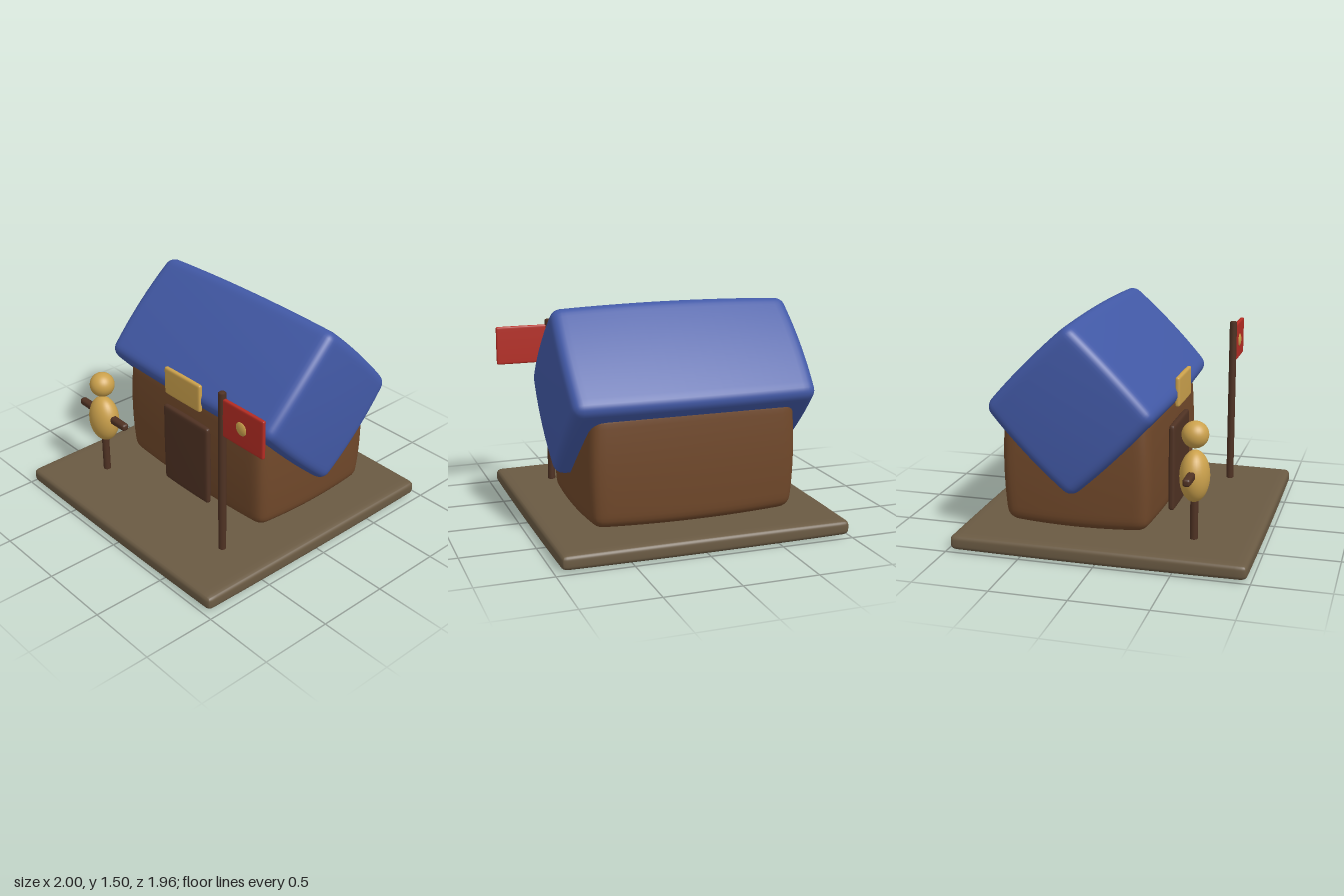
import * as THREE from 'three';
import { mergeVertices } from 'three/addons/utils/BufferGeometryUtils.js';

const paint = (name, color) => {
  const m = new THREE.MeshStandardMaterial({ color });
  m.name = name;
  return m;
};

// Box with round edges and slightly swollen faces
function puffyBox(w, h, d, r, bulge, seg = 24) {
  const g = new THREE.BoxGeometry(2, 2, 2, seg, seg, seg);
  g.deleteAttribute('uv');
  g.deleteAttribute('normal');
  const pos = g.attributes.position;
  const half = new THREE.Vector3(w, h, d).multiplyScalar(0.5);
  const inner = half.clone().subScalar(r);
  const p = new THREE.Vector3(), core = new THREE.Vector3();
  const spread = (u) => Math.sin(u * Math.PI / 2);
  for (let i = 0; i < pos.count; i++) {
    p.fromBufferAttribute(pos, i);
    p.set(spread(p.x), spread(p.y), spread(p.z)).multiply(half);
    core.copy(p).clamp(inner.clone().negate(), inner);
    p.sub(core).setLength(r).add(core);
    const n = p.clone().divide(half);
    const x2 = n.x * n.x, y2 = n.y * n.y, z2 = n.z * n.z;
    p.x -= bulge * n.x * (y2 + z2) / 2;
    p.y -= bulge * n.y * (x2 + z2) / 2;
    p.z -= bulge * n.z * (x2 + y2) / 2;
    pos.setXYZ(i, p.x, p.y, p.z);
  }
  const merged = mergeVertices(g, 1e-5);
  merged.computeVertexNormals();
  return merged;
}

// Upright pole with softened ends
function pole(radius, height) {
  const b = 0.008, h = height / 2;
  const pts = [[0, -h], [radius - b, -h], [radius, -h + b], [radius, h - b], [radius - b, h], [0, h]];
  return new THREE.LatheGeometry(pts.map(([x, y]) => new THREE.Vector2(x, y)), 20);
}

export function createModel() {
  const earth = paint('earth', 0x6a5a43);
  const wood = paint('wood', 0x70482a);
  const darkWood = paint('dark wood', 0x4f3223);
  const blue = paint('roof blue', 0x4259a6);
  const gold = paint('straw gold', 0xcba14c);
  const red = paint('flag red', 0xb42c23);

  const model = new THREE.Group();
  const add = (name, geo, mat, x, y, z, parent = model) => {
    const m = new THREE.Mesh(geo, mat);
    m.name = name;
    m.position.set(x, y, z);
    parent.add(m);
    return m;
  };
  const ball = (rx, ry, rz) => new THREE.SphereGeometry(1, 32, 24).scale(rx, ry, rz);

  // Ground slab and hut
  add('ground', puffyBox(1.96, 0.12, 1.96, 0.035, 0.01), earth, -0.02, 0.06, 0);
  add('walls', puffyBox(1.44, 0.83, 1.03, 0.08, 0.035), wood, -0.02, 0.525, -0.208);
  add('door', puffyBox(0.465, 0.605, 0.05, 0.018, 0.005), darkWood, -0.017, 0.438, 0.325);

  // Roof is a square beam turned on its edge
  const roof = add('roof', puffyBox(1.69, 0.86, 0.86, 0.068, 0.03, 32), blue, -0.018, 0.94, -0.208);
  roof.rotation.x = Math.PI / 4;
  add('signBoard', puffyBox(0.365, 0.205, 0.036, 0.014, 0.002), gold, -0.017, 0.958, 0.35);

  // Training dummy
  const dummy = new THREE.Group();
  dummy.name = 'dummy';
  dummy.position.set(-0.64, 0, 0.57);
  model.add(dummy);
  add('dummyPost', pole(0.026, 0.4), darkWood, 0, 0.31, 0, dummy);
  add('dummyBody', ball(0.123, 0.17, 0.097), gold, 0, 0.54, 0, dummy);
  add('dummyHead', ball(0.087, 0.087, 0.087), gold, 0, 0.813, 0, dummy);
  add('dummyArms', puffyBox(0.515, 0.055, 0.055, 0.018, 0.003), darkWood, 0, 0.573, 0, dummy);

  // Flag with a round badge on its front
  const flag = new THREE.Group();
  flag.name = 'flag';
  flag.position.set(0.623, 0, 0.57);
  model.add(flag);
  add('flagPole', pole(0.026, 1.185), darkWood, 0, 0.703, 0, flag);
  add('flagCloth', puffyBox(0.375, 0.268, 0.03, 0.01, 0.002), red, 0.19, 1.124, 0, flag);
  add('flagBadge', ball(0.049, 0.049, 0.018), gold, 0.188, 1.124, 0.009, flag);

  return model;
}
